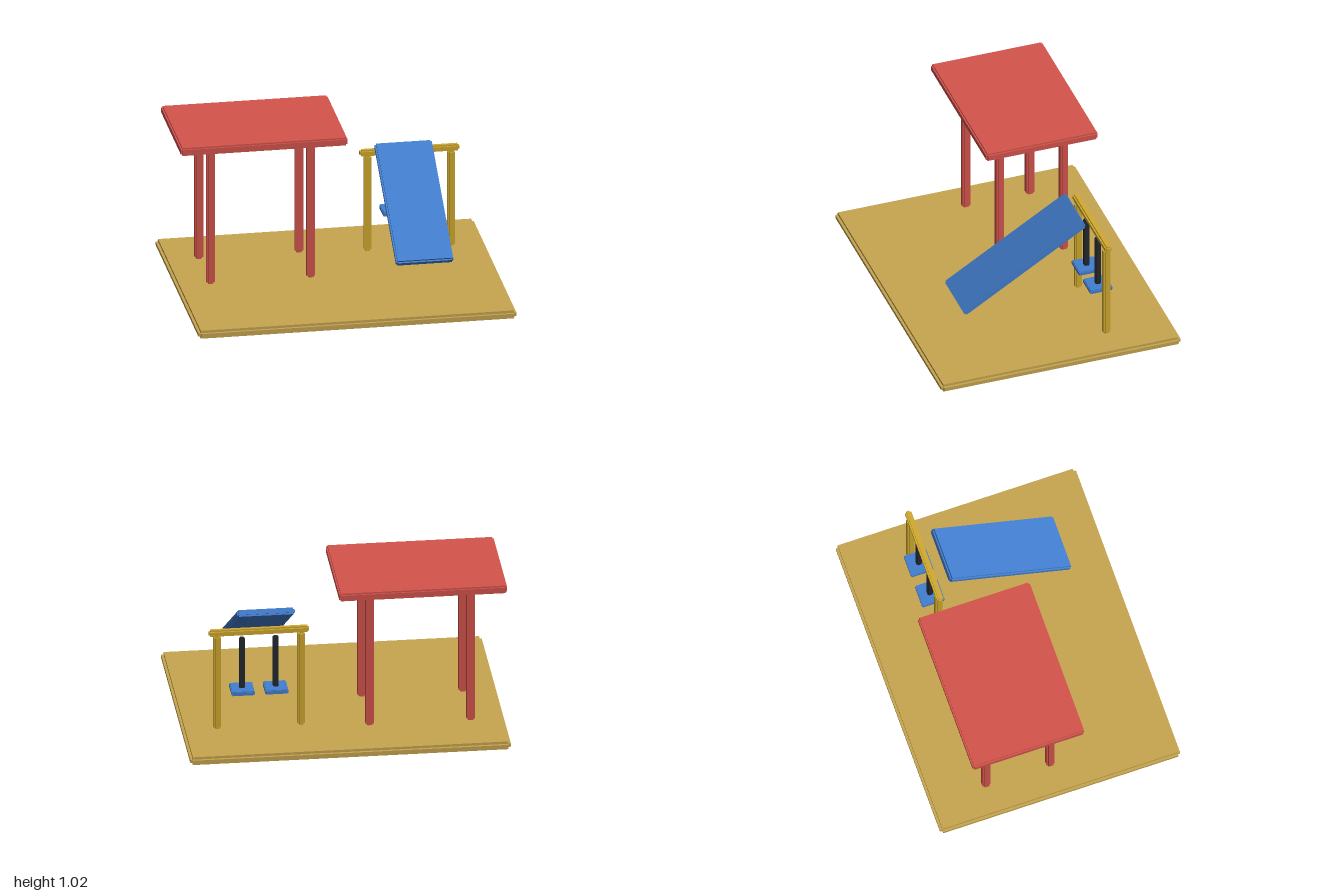
import * as THREE from 'three';
import { mergeGeometries } from 'three/addons/utils/BufferGeometryUtils.js';

const mat = (color) => new THREE.MeshStandardMaterial({ color, flatShading: true });

// Box with a square notch of size b cut along every edge
function notchedBox(w, h, d, b) {
  return mergeGeometries([
    new THREE.BoxGeometry(w, h - 2 * b, d - 2 * b),
    new THREE.BoxGeometry(w - 2 * b, h, d - 2 * b),
    new THREE.BoxGeometry(w - 2 * b, h - 2 * b, d),
  ]);
}

export function createModel() {
  const group = new THREE.Group();
  const sand = mat(0xc8a650);
  const red = mat(0xd5544c);
  const blue = mat(0x437fd0);
  const yellow = mat(0xd2aa30);
  const black = mat(0x24282e);

  const add = (name, material, size, position, notch = 0.01) => {
    const mesh = new THREE.Mesh(notchedBox(...size, notch), material);
    mesh.name = name;
    mesh.position.set(...position);
    group.add(mesh);
    return mesh;
  };

  // Ground slab
  add('ground', sand, [2, 0.053, 1.574], [0, 0.0265, 0], 0.016);

  // Shelter: flat roof on four posts
  add('shelterRoof', red, [1.047, 0.052, 0.732], [-0.477, 0.998, -0.21]);
  for (const x of [-0.79, -0.16]) {
    for (const z of [0, -0.42]) {
      add('shelterPost', red, [0.052, 0.927, 0.052], [x, 0.5165, z]);
    }
  }

  // Swing frame
  const swingZ = -0.367;
  for (const x of [0.262, 0.786]) {
    add('swingPost', yellow, [0.046, 0.634, 0.046], [x, 0.37, swingZ]);
  }
  add('swingBeam', yellow, [0.626, 0.042, 0.042], [0.525, 0.706, swingZ]);

  // Swings: one hanger and one seat each
  for (const x of [0.42, 0.63]) {
    add('swingHanger', black, [0.035, 0.345, 0.035], [x, 0.493, swingZ], 0.006);
    add('swingSeat', blue, [0.144, 0.028, 0.146], [x, 0.312, swingZ], 0.005);
  }

  // Sloping slide, low at the front
  const slide = add('slide', blue, [0.36, 0.042, 0.93], [0.469, 0.547, 0.117]);
  slide.rotation.x = THREE.MathUtils.degToRad(31.5);

  return group;
}
